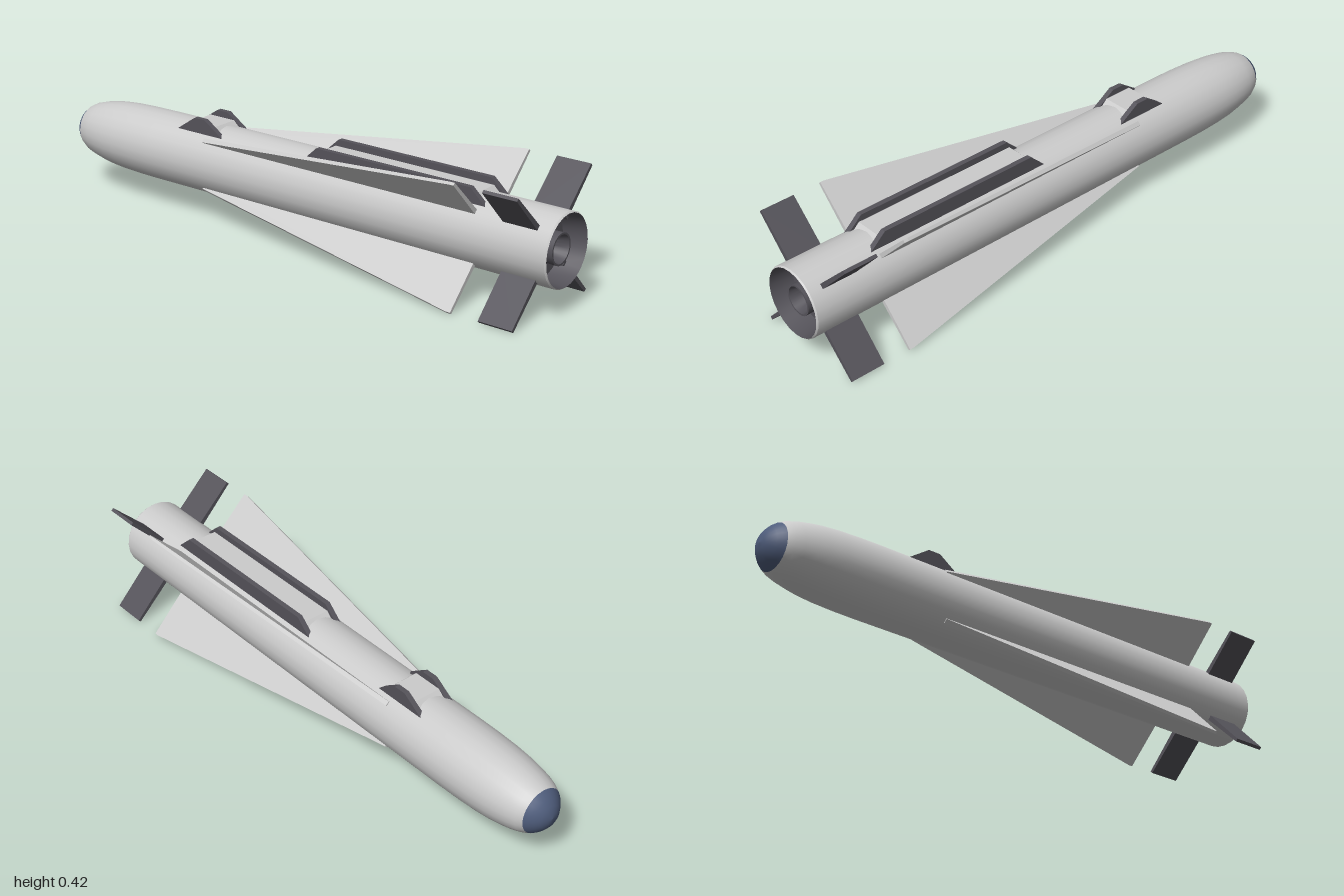
import * as THREE from 'three';
import { toCreasedNormals } from 'three/addons/utils/BufferGeometryUtils.js';

const AXIS_Y = 0.21;
const paint = (color) => new THREE.MeshStandardMaterial({ color });
const grey = paint(0xcccccc);
const dark = paint(0x55535a);
const glass = paint(0x4f5d7c);

function shapeOf(points) {
  return new THREE.Shape(points.map(([x, y]) => new THREE.Vector2(x, y)));
}

// Solid of revolution about the z axis, from [radius, z] pairs
function turned(points, smooth = false) {
  const profile = points.map(([r, z]) => new THREE.Vector2(r, z));
  const geo = new THREE.LatheGeometry(profile, 24).rotateX(Math.PI / 2);
  return smooth ? geo : toCreasedNormals(geo, 0.5);
}

// Flat panel from [radius, z] pairs, thinning from root to tip
function panel(points, rootThick, tipThick) {
  const geo = new THREE.ExtrudeGeometry(shapeOf(points), { depth: 1, bevelEnabled: false });
  geo.translate(0, 0, -0.5);
  const p = geo.attributes.position;
  for (let i = 0; i < p.count; i++) {
    const t = THREE.MathUtils.clamp((p.getX(i) - 0.11) / 0.18, 0, 1);
    p.setZ(i, p.getZ(i) * THREE.MathUtils.lerp(rootThick, tipThick, t));
  }
  geo.rotateX(Math.PI / 2);
  geo.computeVertexNormals();
  return geo;
}

// Block with sloping ends, from [z, y] pairs, centred on x = 0
function block(points, width) {
  return new THREE.ExtrudeGeometry(shapeOf(points), { depth: width, bevelEnabled: false })
    .translate(0, 0, -width / 2)
    .rotateY(-Math.PI / 2);
}

export function createModel() {
  const model = new THREE.Group();
  model.name = 'airToGroundMissile';
  const add = (name, geo, material) => {
    const mesh = new THREE.Mesh(geo, material);
    mesh.name = name;
    mesh.position.y = AXIS_Y;
    model.add(mesh);
    return mesh;
  };

  // Tube with rounded nose and rear rim
  add('body', turned([
    [0.078, -0.952], [0.089, -0.93], [0.098, -0.9], [0.106, -0.86], [0.112, -0.82],
    [0.117, -0.76], [0.12, -0.68], [0.121, -0.6], [0.121, 0.995], [0.117, 1],
  ]), grey);

  // Seeker window at the tip
  add('seekerDome', turned([
    [0, -1], [0.02, -0.997], [0.04, -0.989], [0.057, -0.976], [0.069, -0.964], [0.078, -0.952],
  ], true), glass);

  // Recessed rear end and motor nozzle
  add('rearRecess', turned([[0.117, 1], [0.106, 0.92], [0, 0.92]]), dark);
  add('nozzle', turned([
    [0.05, 0.919], [0.052, 0.98], [0.046, 0.98], [0.034, 0.93], [0, 0.93],
  ]), dark);

  // Four delta wings and four tail fins in an X
  const wing = panel([[0.1, -0.36], [0.124, -0.36], [0.29, 0.715], [0.29, 0.73], [0.1, 0.73]], 0.016, 0.01);
  const fin = panel([[0.1, 0.83], [0.29, 0.83], [0.29, 0.95], [0.1, 0.95]], 0.018, 0.011);
  for (let i = 0; i < 4; i++) {
    const angle = Math.PI / 4 + (i * Math.PI) / 2;
    add('wing', wing, grey).rotation.z = angle;
    add('tailFin', fin, dark).rotation.z = angle;
  }

  // Launch rails on top: short front pair and long rear pair, each with a saddle between
  for (const [name, z0, z1, slope] of [['front', -0.49, -0.295, 0.075], ['rear', 0.05, 0.75, 0.055]]) {
    const rail = block([
      [z0, 0.09], [z1, 0.09], [z1, 0.1], [z1 - slope, 0.15], [z0 + slope, 0.15], [z0, 0.1],
    ], 0.018);
    for (const side of [-1, 1]) add(name + 'Rail', rail, dark).position.x = side * 0.058;
    const saddle = block([
      [z0 + 0.005, 0.09], [z1 - 0.005, 0.09], [z1 - 0.045, 0.128], [z0 + 0.045, 0.128],
    ], 0.102);
    add(name + 'Saddle', saddle, grey);
  }

  return model;
}
